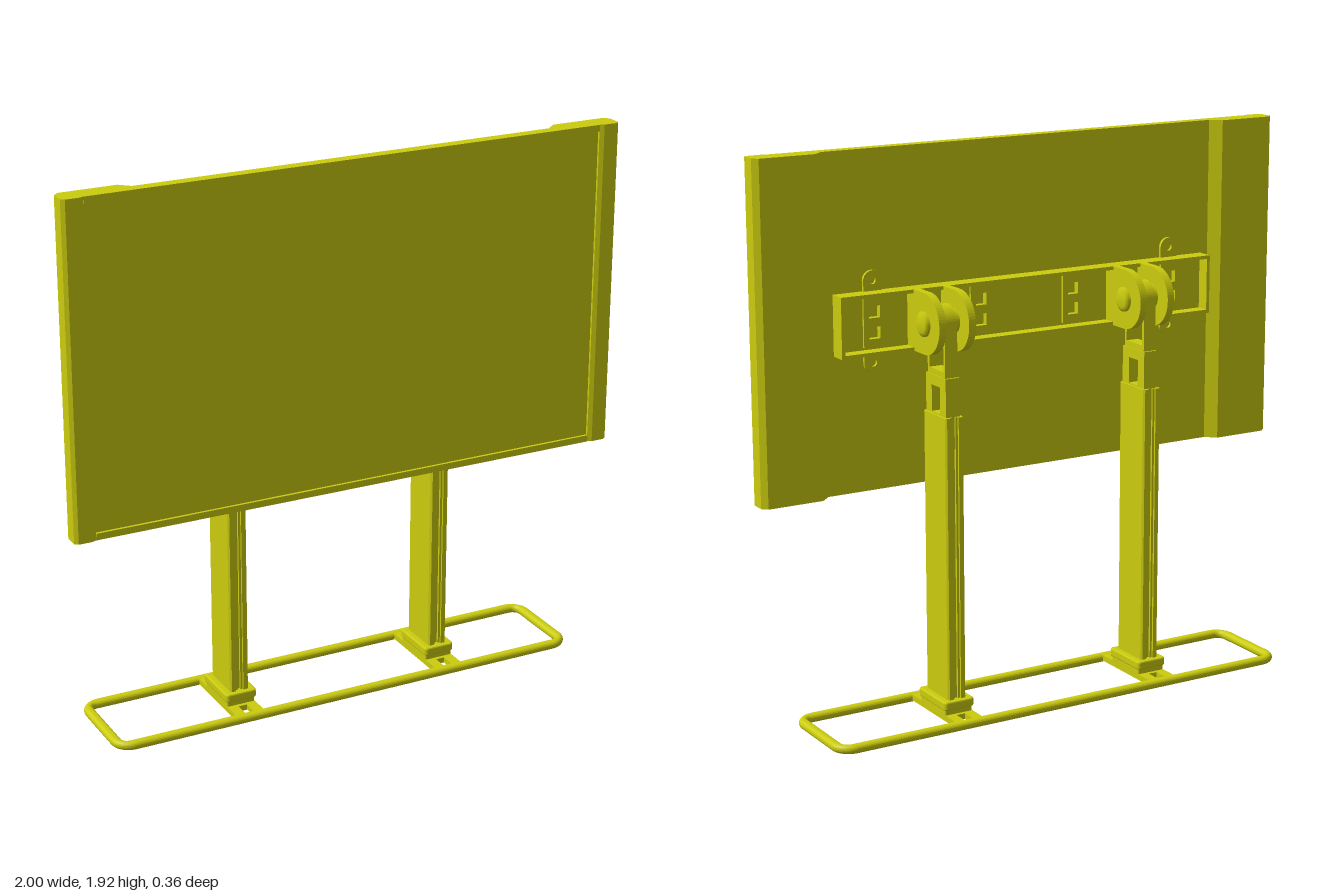
import * as THREE from 'three';

const material = new THREE.MeshStandardMaterial({ color: 0xcccc0f });

function add(parent, name, geometry, x = 0, y = 0, z = 0) {
  const mesh = new THREE.Mesh(geometry, material);
  mesh.name = name;
  mesh.position.set(x, y, z);
  parent.add(mesh);
  return mesh;
}

// Box given by its limits on each axis
function block(parent, name, [x0, x1], [y0, y1], [z0, z1]) {
  return add(parent, name, new THREE.BoxGeometry(x1 - x0, y1 - y0, z1 - z0),
    (x0 + x1) / 2, (y0 + y1) / 2, (z0 + z1) / 2);
}

function rect(w, h, r = 0, cx = 0, cy = 0, Type = THREE.Shape) {
  const s = new Type(), x = w / 2, y = h / 2;
  if (!r) {
    return s.moveTo(cx - x, cy - y).lineTo(cx + x, cy - y).lineTo(cx + x, cy + y).lineTo(cx - x, cy + y).closePath();
  }
  s.absarc(cx + x - r, cy - y + r, r, -Math.PI / 2, 0);
  s.absarc(cx + x - r, cy + y - r, r, 0, Math.PI / 2);
  s.absarc(cx - x + r, cy + y - r, r, Math.PI / 2, Math.PI);
  s.absarc(cx - x + r, cy - y + r, r, Math.PI, Math.PI * 1.5);
  return s.closePath();
}

function extrude(shape, depth, extra = {}) {
  return new THREE.ExtrudeGeometry(shape, { depth, bevelEnabled: false, curveSegments: 16, ...extra });
}

// Extrude a plan outline (x, -z) upwards
const upwards = (shape, height, extra) => extrude(shape, height, extra).rotateX(-Math.PI / 2);
// Extrude a side outline (z, y) across x, centred
const sideways = (shape, width) => extrude(shape, width).translate(0, 0, -width / 2).rotateY(-Math.PI / 2);

// Upright outline with a half-round top
function archShape(z0, z1, y0, centreY) {
  const s = new THREE.Shape(), r = (z1 - z0) / 2;
  s.moveTo(z0, y0).lineTo(z1, y0).lineTo(z1, centreY);
  s.absarc((z0 + z1) / 2, centreY, r, 0, Math.PI);
  return s.closePath();
}

function buildScreen() {
  const g = new THREE.Group();
  g.name = 'screen';
  // Cross-section with recessed front and thicker side housings at the back
  const half = [[0.925, 0.16], [0.925, 0.168], [0.94, 0.175], [0.988, 0.175], [1, 0.165],
    [1, 0.115], [0.982, 0.097], [0.785, 0.097], [0.75, 0.13]];
  const outline = [...half, ...half.map(([x, z]) => [-x, z]).reverse()];
  const shape = new THREE.Shape(outline.map(([x, z]) => new THREE.Vector2(x, -z)));
  add(g, 'screenHousing', upwards(shape, 1.14), 0, 0.785, 0);
  block(g, 'lowerBezel', [-0.925, 0.925], [0.785, 0.808], [0.155, 0.17]);
  block(g, 'upperBezel', [-0.925, 0.925], [1.902, 1.925], [0.155, 0.17]);
  return g;
}

function buildRail() {
  const g = new THREE.Group();
  g.name = 'mountingRail';
  const yc = 1.3575, h = 0.205;
  // Web with square holes
  const web = rect(1.44, h);
  const holeX = [-0.58, -0.18, 0.18, 0.58];
  for (const x of holeX) {
    for (const y of [-0.035, 0.035]) web.holes.push(rect(0.04, 0.04, 0, x, y, THREE.Path));
  }
  add(g, 'railWeb', extrude(web, 0.014), 0, yc, 0.115);
  // Reinforcing plates around the holes
  for (const x of holeX) {
    const plate = rect(0.08, 0.165);
    for (const y of [-0.035, 0.035]) plate.holes.push(rect(0.04, 0.04, 0, 0, y, THREE.Path));
    add(g, 'railPlate', extrude(plate, 0.008), x, yc, 0.107);
  }
  // Flange rim
  const rim = rect(1.44, h);
  rim.holes.push(rect(1.416, h - 0.024, 0, 0, 0, THREE.Path));
  add(g, 'railFlange', extrude(rim, 0.06), 0, yc, 0.069);
  // Rounded screw tabs above and below
  for (const x of [-0.58, 0.58]) {
    for (const s of [-1, 1]) {
      const tab = archShape(-0.033, 0.033, -0.02, 0.035);
      const hole = new THREE.Path();
      hole.absarc(0, 0.035, 0.013, 0, Math.PI * 2);
      tab.holes.push(hole);
      const mesh = add(g, 'screwTab', extrude(tab, 0.01), x, yc + s * h / 2, 0.12);
      if (s < 0) {
        mesh.rotation.z = Math.PI;
      }
    }
  }
  return g;
}

function buildHinge() {
  const g = new THREE.Group();
  g.name = 'tiltHinge';
  const yc = 1.3575, r = 0.1025;
  // Two rounded cheeks fixed to the rail
  const cheek = new THREE.Shape();
  cheek.moveTo(0.12, yc - r).lineTo(0.12, yc + r).lineTo(0, yc + r);
  cheek.absarc(0, yc, r, Math.PI / 2, Math.PI * 1.5);
  cheek.closePath();
  for (const s of [-1, 1]) add(g, 'hingeCheek', sideways(cheek, 0.026), s * 0.055, 0, 0);
  block(g, 'hingeBackPlate', [-0.068, 0.068], [yc - r, yc + r], [0.085, 0.118]);
  // Pivot bolt with a rounded head on each side
  const bolt = new THREE.LatheGeometry([[0, -0.083], [0.028, -0.083], [0.042, -0.074], [0.042, 0.074],
    [0.028, 0.083], [0, 0.083]].map(([x, y]) => new THREE.Vector2(x, y)), 32);
  bolt.rotateZ(Math.PI / 2);
  add(g, 'pivotBolt', bolt, 0, yc, 0);
  // Knuckle arm between the cheeks
  const arm = archShape(-0.056, 0.062, 1.18, yc);
  arm.holes.push(rect(0.096, 0.08, 0, 0.003, 1.24, THREE.Path));
  add(g, 'knuckleArm', sideways(arm, 0.046));
  return g;
}

function buildLeg(x) {
  const g = new THREE.Group();
  g.name = 'leg';
  // Outer column with a stepped groove front and back
  const quarter = [[0.034, 0.07], [0.029, 0.077], [0.014, 0.077], [0.014, 0.07], [0.006, 0.07], [0.006, 0.062]];
  const front = [...quarter, ...quarter.map(([a, b]) => [-a, b]).reverse()];
  const column = new THREE.Shape([...front, ...front.map(([a, b]) => [-a, -b])].map(([a, b]) => new THREE.Vector2(a, b)));
  add(g, 'outerColumn', upwards(column, 0.98), 0, 0.07, 0);
  // Inner post with a side window
  const post = rect(0.134, 0.24, 0, 0.003, 1.06);
  post.holes.push(rect(0.056, 0.09, 0, 0.003, 1.1, THREE.Path));
  add(g, 'innerPost', sideways(post, 0.052));
  // Foot collar and cross strips joining the base tubes
  add(g, 'footPlate', upwards(rect(0.104, 0.172, 0.006), 0.03), 0, 0.022, 0);
  add(g, 'footCollar', upwards(rect(0.104, 0.178, 0.008), 0.02,
    { bevelEnabled: true, bevelSize: 0.005, bevelThickness: 0.005, bevelSegments: 2 }), 0, 0.05, 0);
  for (const s of [-1, 1]) {
    block(g, 'footStrip', [s * 0.034 - 0.018, s * 0.034 + 0.018], [0.008, 0.028], [-0.16, 0.16]);
  }
  block(g, 'footBridge', [-0.05, 0.05], [0.008, 0.028], [-0.1, 0.1]);
  g.add(buildHinge());
  g.position.x = x;
  return g;
}

function buildBase() {
  // Rounded tube loop lying on the floor
  const b = 0.014;
  const loop = rect(1.76 - 2 * b, 0.36 - 2 * b, 0.055);
  loop.holes.push(rect(1.69 + 2 * b, 0.29 + 2 * b, 0.035, 0, 0, THREE.Path));
  const geometry = upwards(loop, 0.002,
    { bevelEnabled: true, bevelSize: b, bevelThickness: b, bevelSegments: 5 });
  const mesh = new THREE.Mesh(geometry, material);
  mesh.name = 'baseLoop';
  mesh.position.y = b;
  return mesh;
}

export function createModel() {
  const model = new THREE.Group();
  model.name = 'displayStand';
  model.add(buildScreen(), buildRail(), buildBase(), buildLeg(-0.387), buildLeg(0.387));
  return model;
}
